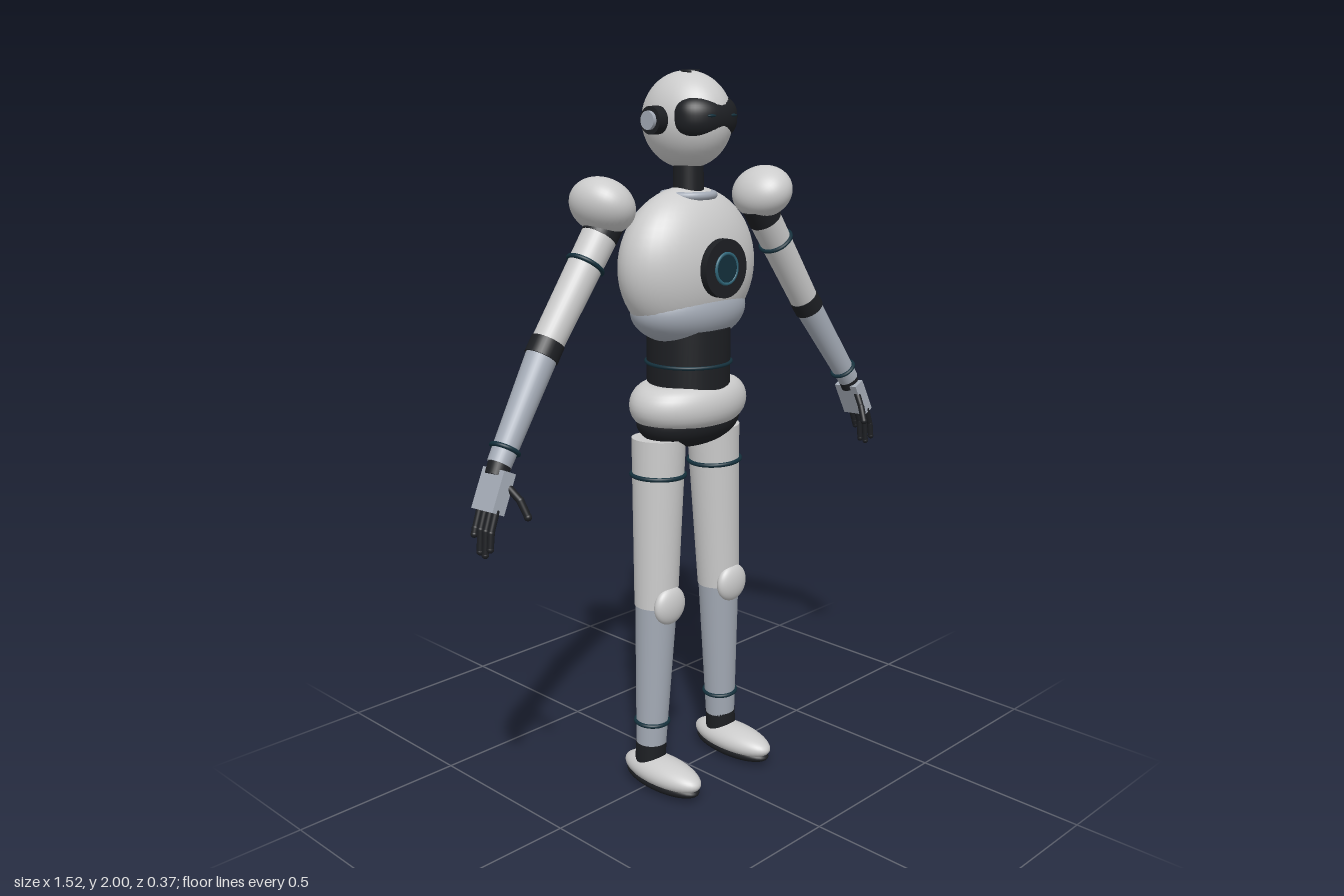
import * as THREE from 'three';
import { mergeVertices } from 'three/addons/utils/BufferGeometryUtils.js';

const mat = (color) => new THREE.MeshStandardMaterial({ color });
const shell = mat(0xe9eaec), grey = mat(0xa4abb6), dark = mat(0x1d1f23);
const band = mat(0x14303c), glow = mat(0x2f6578);
const V = (x, y, z) => new THREE.Vector3(x, y, z);
const UP = V(0, 1, 0);

function add(parent, name, geometry, material, pos = [0, 0, 0]) {
  const mesh = new THREE.Mesh(geometry, material);
  mesh.name = name;
  mesh.position.set(...pos);
  parent.add(mesh);
  return mesh;
}

function ellipsoid(parent, name, material, pos, radii) {
  return add(parent, name, new THREE.SphereGeometry(1, 40, 28).scale(...radii), material, pos);
}

// Tapered cylinder running from point a to point b
function limb(parent, name, material, a, b, ra, rb) {
  const d = b.clone().sub(a);
  const mesh = add(parent, name, new THREE.CylinderGeometry(rb, ra, d.length(), 32), material,
    a.clone().add(b).multiplyScalar(0.5).toArray());
  mesh.quaternion.setFromUnitVectors(UP, d.normalize());
  return mesh;
}

// Ring around the line a-b at fraction t
function ring(parent, name, a, b, t, r, tube = 0.006) {
  const mesh = add(parent, name, new THREE.TorusGeometry(r, tube, 10, 40).rotateX(Math.PI / 2), band,
    a.clone().lerp(b, t).toArray());
  mesh.quaternion.setFromUnitVectors(UP, b.clone().sub(a).normalize());
}

// Sphere whose front outline is squared off
function visorGeometry(rx, ry, rz, p) {
  let g = new THREE.SphereGeometry(1, 48, 32);
  g.deleteAttribute('normal');
  g.deleteAttribute('uv');
  g = mergeVertices(g, 1e-4);
  const pos = g.attributes.position;
  for (let i = 0; i < pos.count; i++) {
    const x = pos.getX(i), y = pos.getY(i);
    const n = Math.pow(Math.abs(x) ** p + Math.abs(y) ** p, 1 / p);
    const k = n > 1e-6 ? Math.hypot(x, y) / n : 1;
    pos.setXYZ(i, x * k * rx, y * k * ry, pos.getZ(i) * rz);
  }
  g.computeVertexNormals();
  return g;
}

function buildHead() {
  const head = new THREE.Group();
  head.name = 'head';
  ellipsoid(head, 'skull', shell, [0, 1.872, -0.006], [0.106, 0.126, 0.133]);
  add(head, 'visor', visorGeometry(0.099, 0.063, 0.072, 2.6), dark, [0, 1.879, 0.058]);
  for (const s of [-1, 1]) {
    ellipsoid(head, 'eye', band, [s * 0.038, 1.885, 0.122], [0.016, 0.004, 0.006]);
    add(head, 'earPad', new THREE.CylinderGeometry(0.036, 0.036, 0.035, 32).rotateZ(Math.PI / 2),
      dark, [s * 0.115, 1.873, -0.009]);
    add(head, 'earCap', new THREE.CylinderGeometry(0.024, 0.024, 0.014, 32).rotateZ(Math.PI / 2),
      grey, [s * 0.136, 1.873, -0.009]);
  }
  // Open ring lying on the crown
  add(head, 'crownRing', new THREE.TorusGeometry(0.024, 0.004, 8, 32, Math.PI * 1.5)
    .rotateZ(Math.PI * 0.75).rotateX(Math.PI / 2), dark, [0, 1.995, 0.01]);
  add(head, 'neck', new THREE.CylinderGeometry(0.04, 0.042, 0.12, 32), dark, [0, 1.715, 0]);
  return head;
}

function buildTorso() {
  const torso = new THREE.Group();
  torso.name = 'torso';
  ellipsoid(torso, 'chest', shell, [0, 1.492, -0.004], [0.227, 0.21, 0.132]);
  ellipsoid(torso, 'abdomen', grey, [0, 1.375, 0], [0.187, 0.098, 0.122]);
  ellipsoid(torso, 'backPanel', grey, [0, 1.515, -0.125], [0.112, 0.138, 0.057]);
  add(torso, 'collar', new THREE.TorusGeometry(0.067, 0.011, 12, 48).rotateX(Math.PI / 2),
    grey, [0, 1.678, 0]);

  // Round chest emblem
  const facing = (r, h) => new THREE.CylinderGeometry(r, r, h, 48).rotateX(Math.PI / 2);
  add(torso, 'chestDisc', facing(0.078, 0.035), dark, [0, 1.493, 0.123]);
  add(torso, 'chestLens', facing(0.04, 0.004), band, [0, 1.493, 0.1415]);
  add(torso, 'lensRing', new THREE.TorusGeometry(0.04, 0.0045, 10, 48), glow, [0, 1.493, 0.141]);

  // Waist, hip ring and lower hip
  add(torso, 'waist', new THREE.CylinderGeometry(0.115, 0.115, 0.21, 48), dark, [0, 1.22, 0]);
  add(torso, 'waistRing', new THREE.TorusGeometry(0.117, 0.005, 10, 48).rotateX(Math.PI / 2),
    band, [0, 1.228, 0]);
  add(torso, 'hipRing', new THREE.TorusGeometry(0.13, 0.058, 24, 64).rotateX(Math.PI / 2)
    .scale(1, 1, 0.71), shell, [0, 1.116, 0]);
  ellipsoid(torso, 'hips', dark, [0, 1.068, 0], [0.17, 0.078, 0.112]);
  return torso;
}

// side is +1 for the left limb, -1 for the right
function buildLeg(side) {
  const leg = new THREE.Group();
  leg.name = side > 0 ? 'leftLeg' : 'rightLeg';
  const P = (x, y, z) => V(side * x, y, z);
  const hip = P(0.108, 1.028, -0.008), knee = P(0.128, 0.548, -0.002), ankle = P(0.145, 0.125, -0.008);
  limb(leg, 'thigh', shell, hip, knee, 0.075, 0.061);
  limb(leg, 'shin', grey, knee, ankle, 0.059, 0.043);
  limb(leg, 'ankle', dark, P(0.146, 0.13, -0.008), P(0.148, 0.07, -0.008), 0.044, 0.044);
  ring(leg, 'thighRing', hip, knee, 0.215, 0.074);
  ring(leg, 'shinRing', knee, ankle, 0.835, 0.047);
  ellipsoid(leg, 'kneeCap', shell, [side * 0.127, 0.558, 0.051], [0.055, 0.055, 0.026]);
  ellipsoid(leg, 'foot', shell, [side * 0.148, 0.053, 0.041], [0.059, 0.042, 0.143]);
  ellipsoid(leg, 'sole', dark, [side * 0.148, 0.028, 0.041], [0.055, 0.028, 0.137]);
  return leg;
}

function buildArm(side) {
  const arm = new THREE.Group();
  arm.name = side > 0 ? 'leftArm' : 'rightArm';
  const P = (x, y, z) => V(side * x, y, z);
  const top = P(0.285, 1.635, -0.006), elbow = P(0.507, 1.328, -0.004), wrist = P(0.683, 1.075, 0.027);
  const along = elbow.clone().sub(top).normalize();
  const shoulder = ellipsoid(arm, 'shoulder', shell, [side * 0.304, 1.668, -0.006], [0.082, 0.068, 0.092]);
  shoulder.quaternion.setFromUnitVectors(UP, along);
  limb(arm, 'shoulderJoint', dark, top, top.clone().lerp(elbow, 0.15), 0.048, 0.048);
  limb(arm, 'upperArm', shell, top.clone().lerp(elbow, 0.12), elbow, 0.047, 0.041);
  ring(arm, 'upperArmRing', top, elbow, 0.36, 0.047);
  limb(arm, 'elbow', dark, top.clone().lerp(elbow, 0.94), elbow.clone().lerp(wrist, 0.07), 0.044, 0.044);
  limb(arm, 'forearm', grey, elbow, wrist, 0.041, 0.031);
  ring(arm, 'forearmRing', elbow, wrist, 0.87, 0.035);
  limb(arm, 'wrist', dark, elbow.clone().lerp(wrist, 0.96), P(0.694, 1.05, 0.029), 0.029, 0.029);

  // Hand: palm, four fingers and a thumb
  const palmA = P(0.683, 1.063, 0.029), palmB = P(0.73, 0.965, 0.035);
  const palm = add(arm, 'palm', new THREE.BoxGeometry(0.038, 0.105, 0.082), grey,
    palmA.clone().add(palmB).multiplyScalar(0.5).toArray());
  palm.quaternion.setFromUnitVectors(UP, palmA.clone().sub(palmB).normalize());
  const digit = (name, pts, r) => {
    for (let i = 0; i < pts.length - 1; i++) limb(arm, name, dark, pts[i], pts[i + 1], r, r * 0.92);
    for (const p of pts) ellipsoid(arm, name + 'Joint', dark, p.toArray(), [r, r, r]);
  };
  [0.91, 0.87, 0.866, 0.885].forEach((tipY, i) => {
    const z = 0.006 + i * 0.0205;
    digit('finger', [P(0.728, 0.975, z), P(0.747, 0.925, z + 0.002), P(0.752, tipY, z + 0.003)], 0.009);
  });
  digit('thumb', [P(0.688, 1.03, 0.06), P(0.672, 0.995, 0.09), P(0.664, 0.955, 0.108)], 0.01);
  return arm;
}

export function createModel() {
  const model = new THREE.Group();
  model.name = 'humanoidRobot';
  model.add(buildHead(), buildTorso());
  for (const side of [-1, 1]) model.add(buildLeg(side), buildArm(side));
  return model;
}
